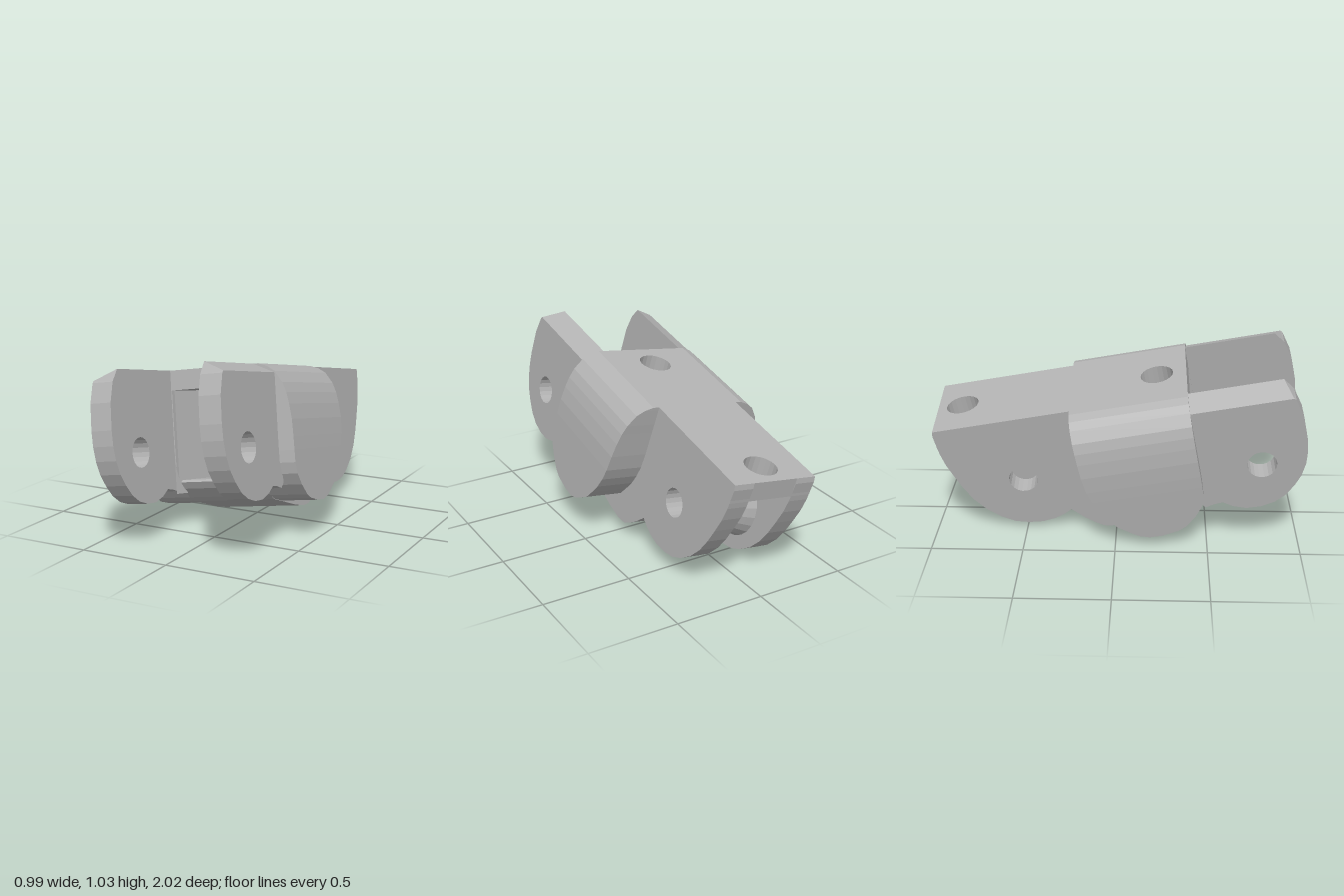
import * as THREE from 'three';

const grey = new THREE.MeshStandardMaterial({ color: 0xb3b3b3 });
grey.name = 'grey';

const shapeOf = (pts) => new THREE.Shape(pts.map(([x, y]) => new THREE.Vector2(x, y)));
const addHole = (shape, x, y, r) => {
  const hole = new THREE.Path();
  hole.absarc(x, y, r, 0, Math.PI * 2, true);
  shape.holes.push(hole);
  return shape;
};

// Side profile given as (z, y), extruded across x from x0 to x1
function sidePart(shape, x0, x1) {
  const g = new THREE.ExtrudeGeometry(shape, { depth: x1 - x0, bevelEnabled: false, curveSegments: 10 });
  return g.rotateY(-Math.PI / 2).translate(x1, 0, 0);
}

// Plan given as (x, -z), extruded upwards from y0 to y1
function planPart(shape, y0, y1) {
  const g = new THREE.ExtrudeGeometry(shape, { depth: y1 - y0, bevelEnabled: false, curveSegments: 10 });
  return g.rotateX(-Math.PI / 2).translate(0, y0, 0);
}

// Stack of rectangles [y, zBack, zFront, xOuter] sharing one inner x
function stack(levels, xInner) {
  const pos = [];
  const rings = levels.map(([y, z0, z1, x]) => [
    [xInner, y, z0], [xInner, y, z1], [x, y, z1], [x, y, z0]]);
  const quad = (a, b, c, d) => pos.push(...a, ...b, ...c, ...a, ...c, ...d);
  for (let k = 0; k < rings.length - 1; k++) {
    for (let i = 0; i < 4; i++) {
      const j = (i + 1) % 4;
      quad(rings[k][i], rings[k][j], rings[k + 1][j], rings[k + 1][i]);
    }
  }
  quad(...rings[rings.length - 1]);
  quad(...rings[0].slice().reverse());
  const g = new THREE.BufferGeometry();
  g.setAttribute('position', new THREE.Float32BufferAttribute(pos, 3));
  g.computeVertexNormals();
  return g;
}

// Mirror across x, restoring the corner order
function mirrored(geo) {
  const src = geo.index ? geo.toNonIndexed() : geo;
  const p = src.attributes.position;
  const pos = [];
  for (let i = 0; i < p.count; i += 3) {
    for (const k of [i, i + 2, i + 1]) pos.push(-p.getX(k), p.getY(k), p.getZ(k));
  }
  const g = new THREE.BufferGeometry();
  g.setAttribute('position', new THREE.Float32BufferAttribute(pos, 3));
  g.computeVertexNormals();
  return g;
}

export function createModel() {
  const model = new THREE.Group();
  model.name = 'hingedLink';
  const link = new THREE.Group();
  link.name = 'link';
  model.add(link);

  const add = (name, geo) => {
    const m = new THREE.Mesh(geo, grey);
    m.name = name;
    link.add(m);
  };
  const addPair = (name, geo) => {
    add(name + 'Left', geo);
    add(name + 'Right', mirrored(geo));
  };

  // Front fork arms with pin holes; the outer top edge slopes down
  const arm = sidePart(addHole(shapeOf([
    [0.5, 0.82], [0.5, 0.19], [0.526, 0.165], [0.575, 0.178], [0.621, 0.182], [0.67, 0.148],
    [0.742, 0.122], [0.82, 0.12], [0.897, 0.137], [0.96, 0.172], [1.015, 0.226], [1.06, 0.285],
    [1.092, 0.355], [1.11, 0.43], [1.117, 0.51], [1.113, 0.65], [1.085, 0.755], [1.04, 0.82],
  ]), 0.862, 0.389, 0.08), 0.255, 0.378);
  const ap = arm.attributes.position;
  for (let i = 0; i < ap.count; i++) {
    if (ap.getX(i) > 0.3 && ap.getY(i) > 0.8) {
      ap.setY(i, 0.766);
      if (ap.getZ(i) > 1) ap.setZ(i, 1.075);
    }
  }
  arm.computeVertexNormals();
  addPair('frontArm', arm);

  // Bulging sides of the middle body
  addPair('bodySide', stack([
    [0.083, 0.2, 0.27, 0.468], [0.1, 0.15, 0.362, 0.468], [0.122, 0.115, 0.407, 0.468],
    [0.178, 0.041, 0.467, 0.468], [0.237, 0, 0.51, 0.468], [0.296, -0.037, 0.529, 0.468],
    [0.36, -0.065, 0.532, 0.468], [0.429, -0.084, 0.533, 0.467], [0.52, -0.094, 0.533, 0.463],
    [0.6, -0.098, 0.533, 0.452], [0.66, -0.101, 0.533, 0.439], [0.714, -0.104, 0.533, 0.419],
    [0.774, -0.106, 0.533, 0.378], [0.803, -0.107, 0.533, 0.335], [0.82, -0.107, 0.533, 0.285],
  ], 0.25));

  // Rear lobes with pin holes
  addPair('rearLobe', sidePart(addHole(shapeOf([
    [-0.862, 0.82], [-0.867, 0.79], [-0.858, 0.678], [-0.843, 0.6], [-0.816, 0.516],
    [-0.785, 0.43], [-0.746, 0.348], [-0.69, 0.27], [-0.619, 0.206], [-0.55, 0.164],
    [-0.478, 0.144], [-0.4, 0.136], [-0.325, 0.146], [-0.27, 0.166], [-0.225, 0.19],
    [-0.16, 0.12], [-0.09, 0.068], [-0.09, 0.82],
  ]), -0.444, 0.437, 0.08), 0.133, 0.25));

  // Inner walls narrowing towards the rear
  addPair('taperedWall', planPart(shapeOf([
    [0.133, 0.1], [0.255, -0.533], [0.25, -0.45], [0.25, 0.1],
  ].reverse()), 0.15, 0.8));

  // Roof with two round openings
  const roof = shapeOf([[-0.25, -0.533], [0.25, -0.533], [0.25, 0.862], [-0.25, 0.862]]);
  addHole(roof, 0, -0.37, 0.09);
  addHole(roof, 0, 0.723, 0.09);
  add('roof', planPart(roof, 0.712, 0.82));

  // Floor and keel below the passage
  add('floor', sidePart(shapeOf([
    [-0.195, 0.19], [-0.16, 0.12], [-0.104, 0.074], [-0.07, 0.05], [-0.039, 0.041], [0.011, 0.037],
    [0.115, 0.049], [0.362, 0.098], [0.407, 0.122], [0.467, 0.173], [0.495, 0.21], [0.48, 0.222],
    [-0.195, 0.222],
  ]), -0.25, 0.25));

  // Waisted hub between the rear lobes
  const hub = new THREE.LatheGeometry([
    [0, -0.135], [0.215, -0.135], [0.197, -0.09], [0.176, -0.04], [0.168, 0],
    [0.176, 0.04], [0.197, 0.09], [0.215, 0.135], [0, 0.135],
  ].map(([r, y]) => new THREE.Vector2(r, y)), 24).toNonIndexed();
  hub.computeVertexNormals();
  add('hub', hub.rotateZ(Math.PI / 2).translate(0, 0.437, -0.444));

  // Resting tilt of the whole link
  const X = new THREE.Vector3(0.987, 0.156, -0.0152).normalize();
  const Z = new THREE.Vector3(-0.0135, 0.181, 0.983).normalize();
  const Y = new THREE.Vector3().crossVectors(Z, X).normalize();
  link.quaternion.setFromRotationMatrix(new THREE.Matrix4().makeBasis(X, Y, Z));
  link.position.copy(X).multiplyScalar(0.05);
  return model;
}
